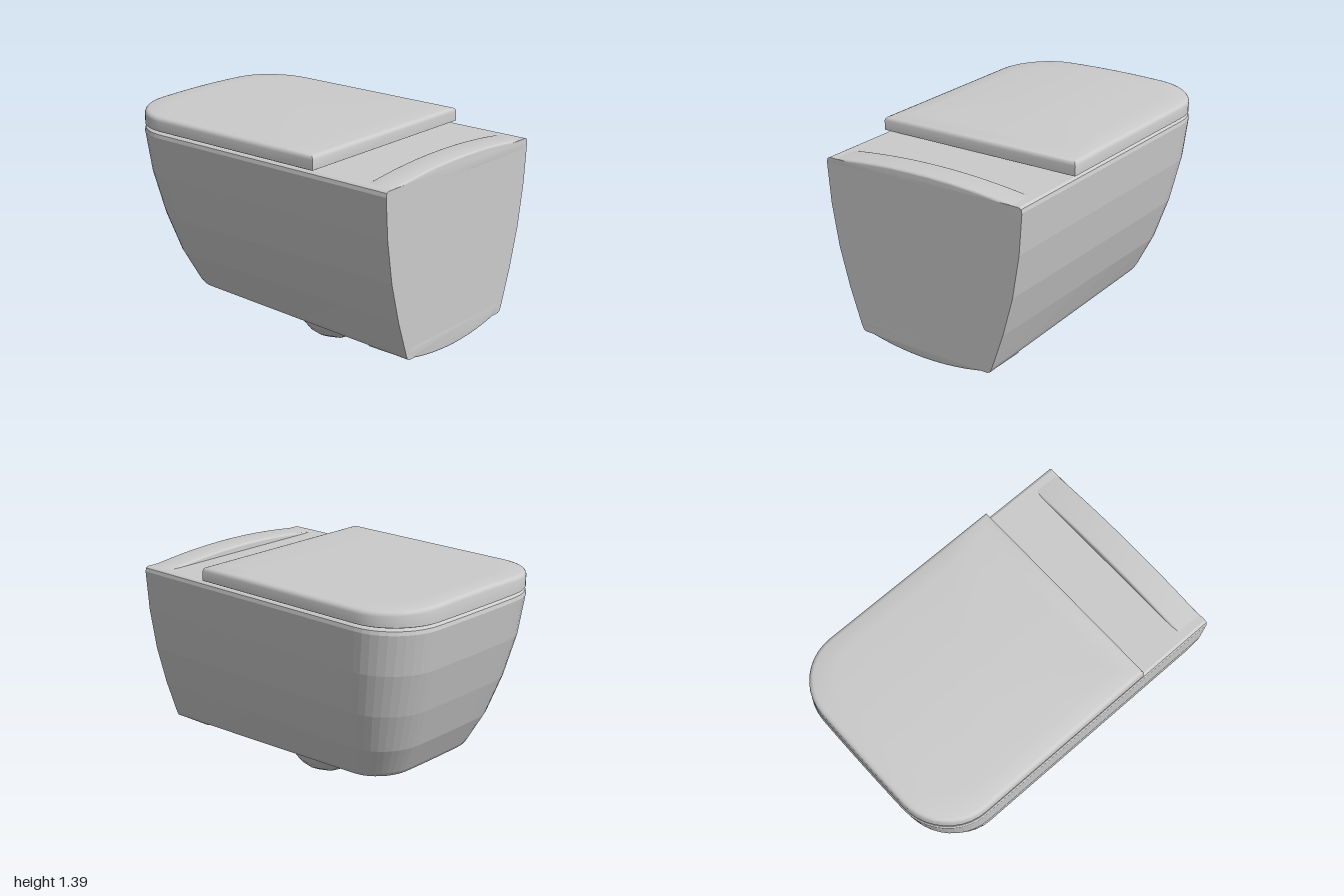
import * as THREE from 'three';
import { toCreasedNormals } from 'three/addons/utils/BufferGeometryUtils.js';

// D-shaped plan outline: square at the back (+x), rounded corners at the front (-x)
function outline({ w, xf, r, xb = 1 }) {
  const pts = [];
  const steps = 10;
  const bow = (x, z) => (x < xf + r ? x + 0.012 * (z / w) ** 2 * (1 - (x - xf) / r) : x);
  const add = (x, z) => pts.push([bow(x, z), z]);
  const side = (s) => {
    const line = [];
    for (let i = 0; i < 4; i++) line.push([xb + (xf + r - xb) * (i / 4), s * w]);
    for (let i = 0; i <= steps; i++) {
      const a = (i / steps) * Math.PI / 2;
      line.push([xf + r - r * Math.sin(a), s * (w - r + r * Math.cos(a))]);
    }
    return line;
  };
  side(-1).forEach(([x, z]) => add(x, z));
  for (let i = 1; i < 6; i++) add(xf, (w - r) * (i / 3 - 1));
  side(1).reverse().forEach(([x, z]) => add(x, z));
  return pts;
}

// Skin stacked outlines from bottom to top; caps are concentric rings
function loft(rows, heightRule) {
  const rings = [];
  const ring = (row, scale) => {
    const cx = ((row.xb ?? 1) + row.xf) / 2;
    rings.push(outline(row).map(([x, z]) => {
      const px = cx + (x - cx) * scale, pz = z * scale;
      return [px, heightRule(px, row.y, pz), pz];
    }));
  };
  const first = rows[0], last = rows[rows.length - 1];
  ring(first, 0.001);
  rows.forEach((row) => ring(row, 1));
  for (const s of [0.85, 0.7, 0.55, 0.4, 0.25, 0.1, 0.001]) ring(last, s);
  const n = rings[0].length;
  const index = [];
  for (let i = 0; i < rings.length - 1; i++) {
    for (let j = 0; j < n; j++) {
      const k = (j + 1) % n;
      const a = i * n + j, b = i * n + k, c = b + n, d = a + n;
      index.push(a, b, c, a, c, d);
    }
  }
  const g = new THREE.BufferGeometry();
  g.setAttribute('position', new THREE.Float32BufferAttribute(rings.flat(2), 3));
  g.setIndex(index);
  g.computeVertexNormals();
  return g;
}

// Crowned strip across the width: a shallow arc extruded along x up to the back
function crownedStrip(edgeW, edgeY, peakY, innerW, innerY, x0) {
  const s = new THREE.Shape();
  s.moveTo(-edgeW, edgeY);
  s.quadraticCurveTo(0, 2 * peakY - edgeY, edgeW, edgeY);
  s.lineTo(innerW, innerY);
  s.lineTo(-innerW, innerY);
  s.closePath();
  const b = 0.012;
  const g = new THREE.ExtrudeGeometry(s, {
    depth: 1 - x0 - 2 * b, curveSegments: 20,
    bevelThickness: b, bevelSize: b, bevelOffset: -b, bevelSegments: 3,
  });
  g.rotateY(Math.PI / 2);
  g.translate(x0 + b, 0, 0);
  return toCreasedNormals(g, 0.6);
}

export function createModel() {
  const group = new THREE.Group();
  const smooth = new THREE.MeshStandardMaterial({ color: 0xcccccc });
  const faceted = new THREE.MeshStandardMaterial({ color: 0xcccccc, flatShading: true });
  const add = (name, geometry, material) => {
    const m = new THREE.Mesh(geometry, material);
    m.name = name;
    group.add(m);
    return m;
  };

  // Bowl body, tapering downward, underside sloping down toward the wall
  const bodyRows = [
    { y: 0.295, w: 0.43, xf: -0.68, r: 0.2 },
    { y: 0.302, w: 0.448, xf: -0.703, r: 0.21 },
    { y: 0.325, w: 0.462, xf: -0.72, r: 0.22 },
    { y: 0.5, w: 0.537, xf: -0.81, r: 0.26 },
    { y: 0.74, w: 0.602, xf: -0.893, r: 0.29 },
    { y: 1.0, w: 0.645, xf: -0.962, r: 0.31 },
    { y: 1.24, w: 0.663, xf: -1, r: 0.32 },
    { y: 1.262, w: 0.658, xf: -0.995, r: 0.317 },
    { y: 1.27, w: 0.643, xf: -0.98, r: 0.305 },
  ];
  const slope = (x, y) =>
    y - 0.03 * (x + 0.7) * THREE.MathUtils.clamp((0.5 - y) / 0.2, 0, 1);
  add('bowlBody', loft(bodyRows, slope), faceted);

  // Crowned strips at the back, above and below
  add('rearTopStrip', crownedStrip(0.655, 1.262, 1.31, 0.64, 1.2, 0.83), smooth);
  add('rearBottomStrip', crownedStrip(0.45, 0.255, 0.196, 0.42, 0.32, 0.72), smooth);

  // Narrow recessed layer between body and lid
  const spacerRows = [1.26, 1.3].map((y) => ({ y, w: 0.63, xf: -0.965, r: 0.3, xb: 0.46 }));
  add('seatSpacer', loft(spacerRows, (x, y) => y), faceted);

  // Lid with a rounded rim and a top crowned across its width
  const lidRows = [[1.279, 0.008], [1.283, 0], [1.34, 0], [1.352, 0.004], [1.36, 0.012], [1.364, 0.026]]
    .map(([y, inset]) => ({
      y, w: 0.66 - inset, xf: -0.998 + inset, r: 0.32 - inset, xb: 0.497 - inset,
    }));
  const crown = (x, y, z) => (y > 1.3 ? y + 0.022 * (1 - (z / 0.66) ** 2) : y);
  add('lid', toCreasedNormals(loft(lidRows, crown), 0.6), smooth);

  // Faceted drain bulb beneath, its poles pointing sideways
  const bulb = add('drainBulb', new THREE.SphereGeometry(0.252, 16, 10).rotateX(Math.PI / 2), faceted);
  bulb.position.set(0.125, 0.252, 0);

  return group;
}
